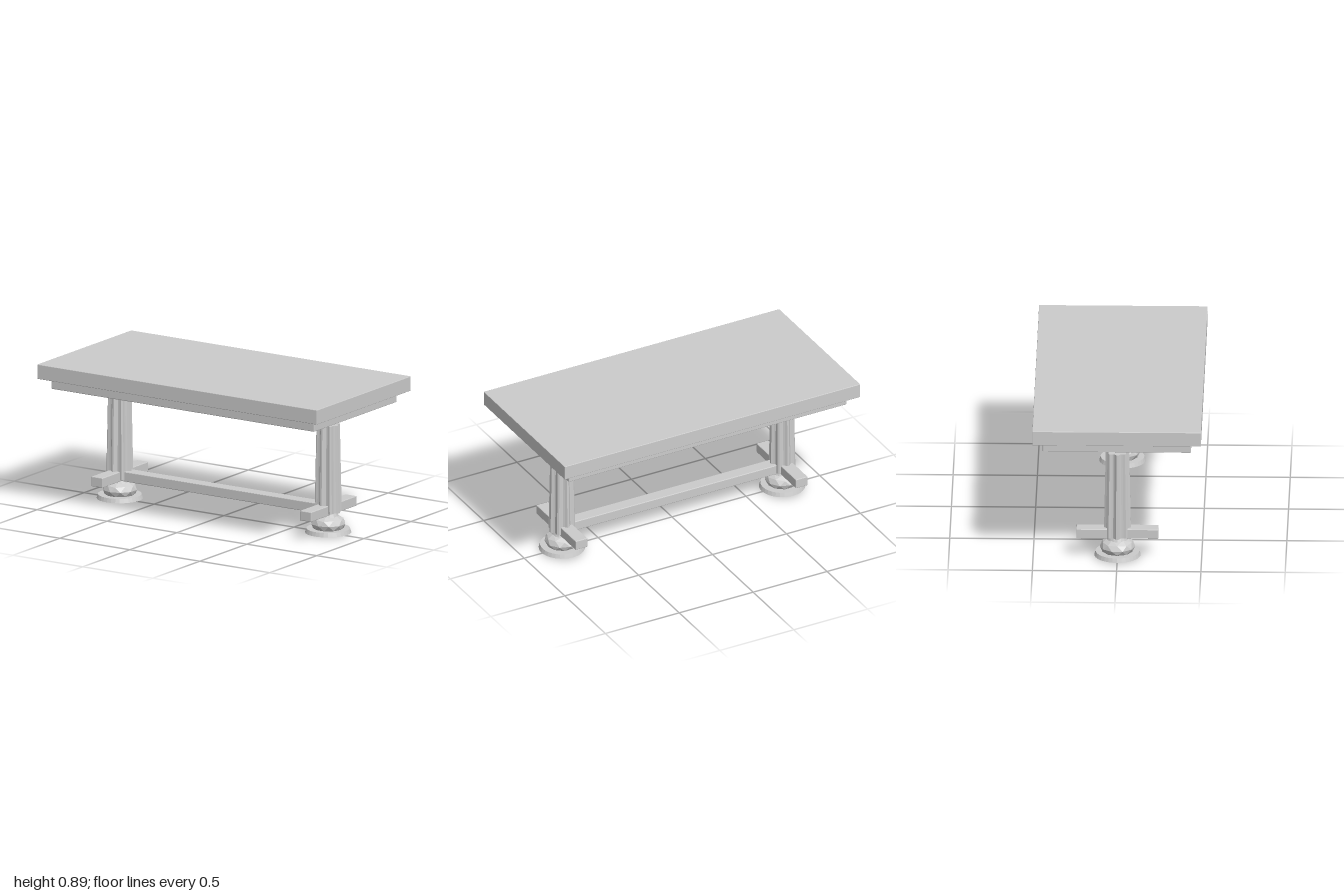
import * as THREE from 'three';
import { RoundedBoxGeometry } from 'three/addons/geometries/RoundedBoxGeometry.js';

const material = new THREE.MeshStandardMaterial({ color: 0xcccccc, flatShading: true });

function add(parent, name, geometry, x = 0, y = 0, z = 0) {
  const mesh = new THREE.Mesh(geometry, material);
  mesh.name = name;
  mesh.position.set(x, y, z);
  parent.add(mesh);
  return mesh;
}

// Board with slightly eased edges, placed by its lower and upper height
function addBoard(parent, name, width, y0, y1, depth, ease = 0.004) {
  return add(parent, name, new RoundedBoxGeometry(width, y1 - y0, depth, 1, ease), 0, (y0 + y1) / 2, 0);
}

// Tapered shaft with eight flutes: each has a flat ridge and a three-point scoop
function flutedShaft(topRadius, bottomRadius, height) {
  const flutes = 8, steps = 5;
  const sides = flutes * steps;
  const scoop = [1, 1, 0.86, 0.8, 0.86];
  const step = (Math.PI * 2) / sides;
  const geometry = new THREE.CylinderGeometry(topRadius, bottomRadius, height, sides, 1, false, -step / 2);
  const p = geometry.attributes.position;
  for (let i = 0; i < p.count; i++) {
    const x = p.getX(i), z = p.getZ(i);
    if (Math.hypot(x, z) < 1e-6) continue;
    const k = Math.round(Math.atan2(x, z) / step + 0.5) + sides;
    const s = scoop[k % steps];
    p.setX(i, x * s);
    p.setZ(i, z * s);
  }
  geometry.computeVertexNormals();
  return geometry;
}

function createPedestal() {
  const leg = new THREE.Group();

  // Foot: flared disc, faceted bun and small collar
  add(leg, 'footDisc', new THREE.CylinderGeometry(0.13, 0.138, 0.025, 32), 0, 0.0175, 0);
  const bun = new THREE.IcosahedronGeometry(1, 1);
  bun.rotateZ(-Math.atan(2 / (1 + Math.sqrt(5)))); // stand it on a vertex
  bun.scale(0.105, 0.06, 0.105);
  add(leg, 'footBun', bun, 0, 0.06, 0);
  add(leg, 'footCollar', new THREE.CylinderGeometry(0.052, 0.062, 0.026, 16), 0, 0.117, 0);

  // Column, cross beam and the pad under the apron
  add(leg, 'column', flutedShaft(0.07, 0.081, 0.535), 0, 0.3975, 0);
  addBoard(leg, 'crossBeam', 0.08, 0.12, 0.18, 0.486);
  addBoard(leg, 'topPad', 0.178, 0.705, 0.735, 0.23);
  return leg;
}

export function createModel() {
  const table = new THREE.Group();
  table.name = 'table';

  addBoard(table, 'tableTop', 2, 0.8, 0.889, 1, 0.003);
  addBoard(table, 'apron', 1.88, 0.735, 0.794, 0.88);
  addBoard(table, 'stretcher', 1.42, 0.12, 0.18, 0.08);

  for (const side of [-1, 1]) {
    const leg = createPedestal();
    leg.name = side > 0 ? 'leftPedestal' : 'rightPedestal';
    leg.position.x = side * 0.745;
    table.add(leg);
  }
  return table;
}
